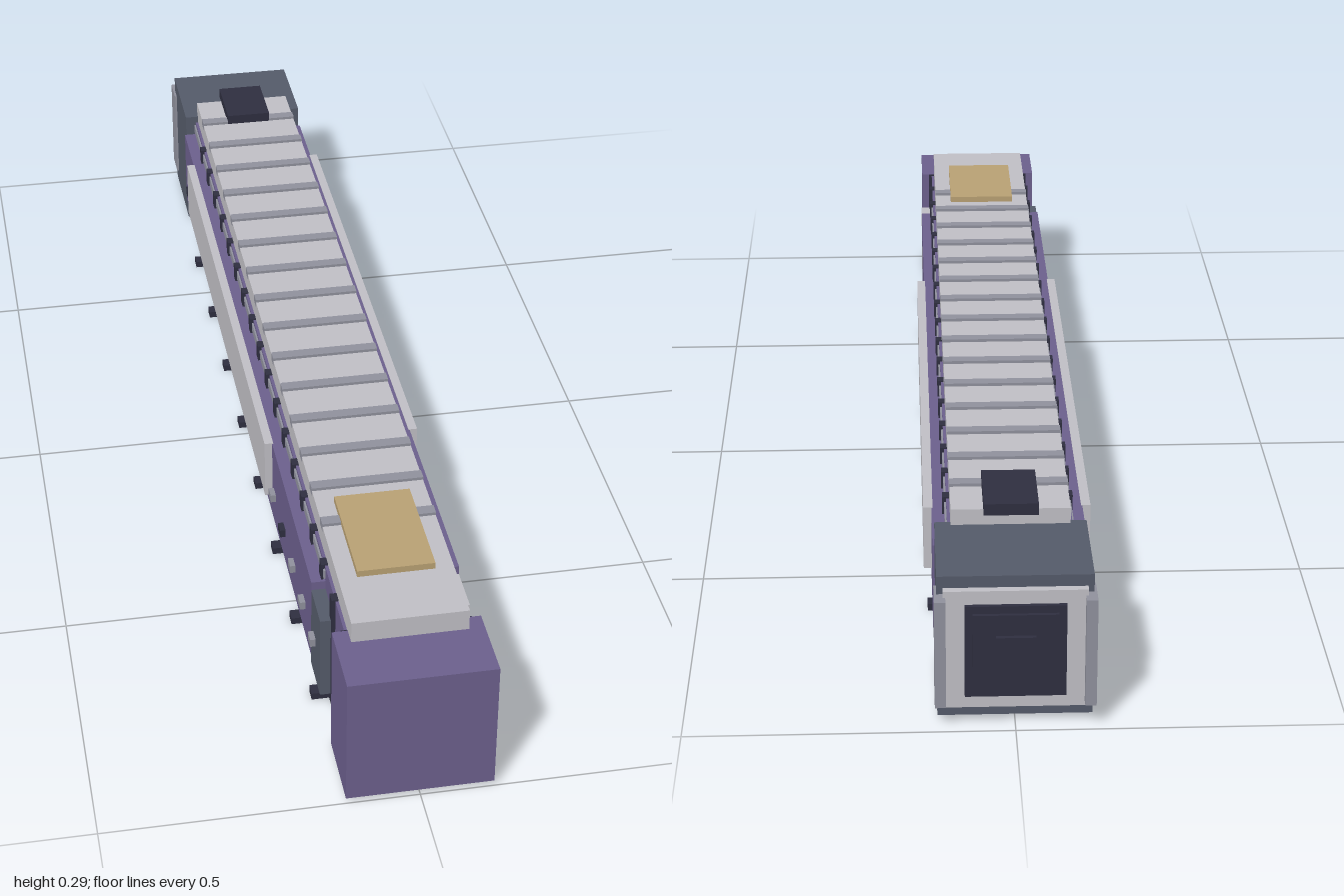
import * as THREE from 'three';

const mat = (name, color) => {
  const m = new THREE.MeshStandardMaterial({ color });
  m.name = name;
  return m;
};

export function createModel() {
  const purple = mat('purple', 0x6b5f8c);
  const light = mat('lightGrey', 0xbfbec4);
  const grey = mat('midGrey', 0x8f909c);
  const dark = mat('nearBlack', 0x2e2e3f);
  const slate = mat('slate', 0x545a69);
  const gold = mat('tan', 0xb8a073);

  const model = new THREE.Group();
  model.name = 'longModularHull';

  // Box given by its extents on each axis
  const box = (name, m, x0, x1, y0, y1, z0, z1) => {
    const mesh = new THREE.Mesh(new THREE.BoxGeometry(x1 - x0, y1 - y0, z1 - z0), m);
    mesh.position.set((x0 + x1) / 2, (y0 + y1) / 2, (z0 + z1) / 2);
    mesh.name = name;
    model.add(mesh);
    return mesh;
  };
  // Box centred on x = 0
  const mid = (name, m, w, y0, y1, z0, z1) => box(name, m, -w, w, y0, y1, z0, z1);
  // Same box on both sides
  const pair = (name, m, x0, x1, y0, y1, z0, z1) => {
    box(name + 'Left', m, x0, x1, y0, y1, z0, z1);
    box(name + 'Right', m, -x1, -x0, y0, y1, z0, z1);
  };

  // Core and end blocks
  mid('core', purple, 0.097, 0.035, 0.232, -0.8, 0.88);
  mid('frontBlock', purple, 0.117, 0.01, 0.235, 0.872, 1);
  mid('rearBlock', slate, 0.117, 0.01, 0.245, -0.968, -0.79);

  // Ring frames around the core
  for (let i = 0; i < 18; i++) {
    const z = 0.878 - i * 0.0912;
    mid('ringFrame', dark, 0.103, 0.022, 0.234, z - 0.009, z + 0.009);
  }

  // Side panels, rails and raised armour
  pair('sidePanel', purple, 0.095, 0.12, 0.055, 0.205, -0.79, 0.71);
  pair('upperRail', grey, 0.09, 0.1, 0.21, 0.226, -0.79, 0.71);
  pair('lowerRail', grey, 0.09, 0.112, 0.043, 0.052, -0.79, 0.71);
  pair('sideArmour', light, 0.118, 0.133, 0.098, 0.206, -0.66, 0.325);
  box('frontHatchLeft', light, 0.095, 0.12, 0.04, 0.19, 0.71, 0.79);
  box('frontHatchRight', slate, -0.12, -0.095, 0.04, 0.19, 0.71, 0.79);

  // Top deck with cross ribs and two hatches
  mid('deck', light, 0.092, 0.232, 0.271, -0.8, 0.9);
  for (let i = 0; i < 15; i++) {
    const z = 0.645 - i * 0.0968;
    mid('deckRib', grey, 0.0925, 0.262, 0.276, z - 0.01, z + 0.01);
  }
  mid('frontDeckPlate', gold, 0.062, 0.27, 0.282, 0.593, 0.79);
  mid('rearDeckHatch', dark, 0.042, 0.27, 0.289, -0.82, -0.7);

  // Keel and its cross bars
  mid('keel', grey, 0.108, 0.012, 0.044, -0.72, 0.55);
  for (let i = 0; i < 8; i++) {
    const z = 0.743 - i * 0.1935;
    mid('keelBar', dark, 0.127, 0, 0.012, z - 0.011, z + 0.011);
  }

  // Small fittings on the right side
  [0.74, 0.645, 0.548, 0.45, 0.35, -0.71].forEach((z, i) => {
    const m = i === 3 || i === 5 ? dark : grey;
    box('sideFitting', m, -0.129, -0.117, 0.108, 0.122, z - 0.011, z + 0.011);
  });

  // Rear port: stepped square plates between two side strips
  mid('rearFrame', light, 0.108, 0.03, 0.226, -0.98, -0.96);
  mid('rearPort', dark, 0.076, 0.052, 0.204, -0.987, -0.975);
  mid('rearPortStep', dark, 0.064, 0.064, 0.192, -0.993, -0.98);
  mid('rearPortCentre', dark, 0.03, 0.098, 0.158, -1, -0.985);
  pair('rearStrip', grey, 0.104, 0.121, 0.038, 0.216, -0.995, -0.94);

  return model;
}
